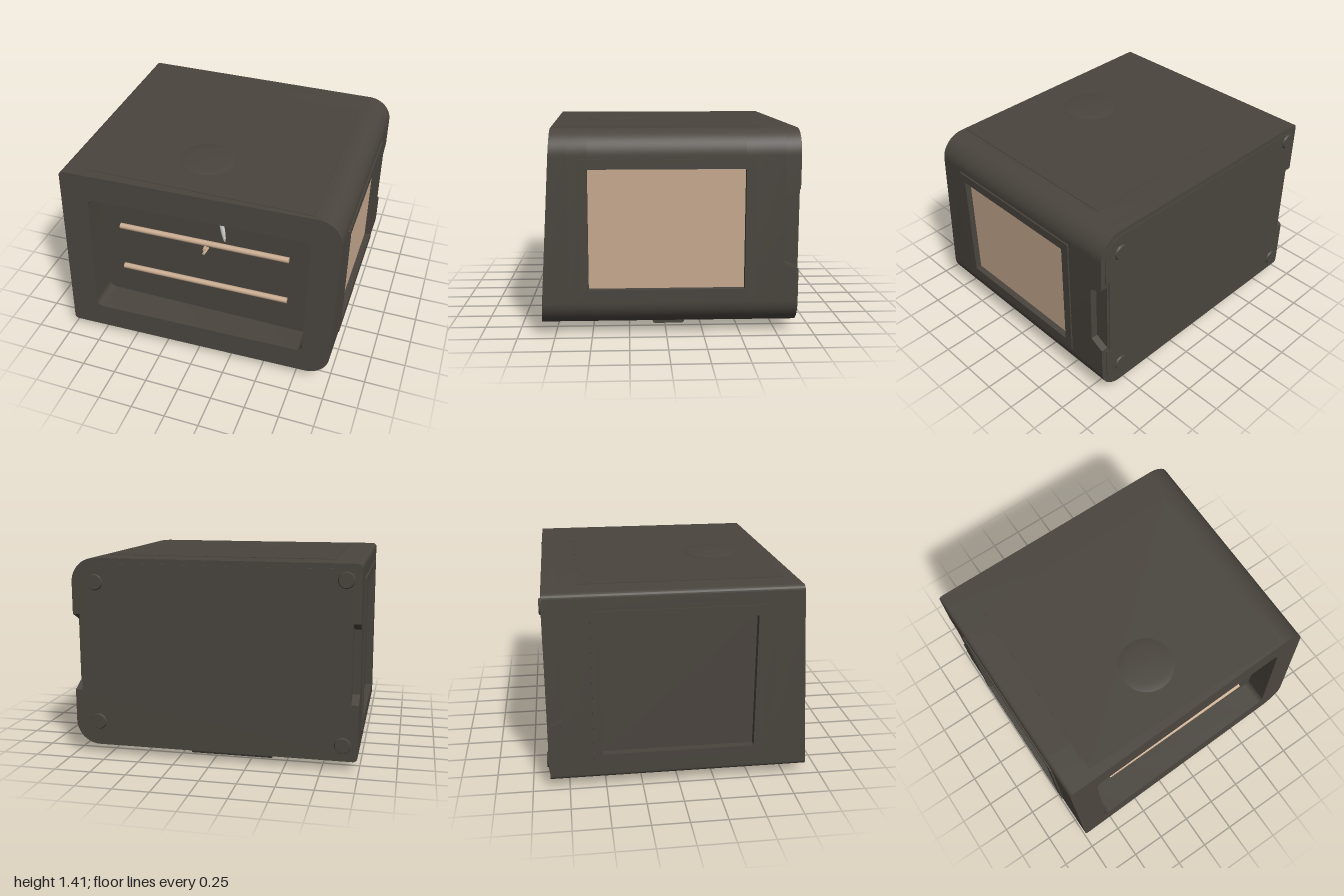
import * as THREE from 'three';
import { toCreasedNormals } from 'three/addons/utils/BufferGeometryUtils.js';

const material = (name, color, side = THREE.FrontSide) =>
  Object.assign(new THREE.MeshStandardMaterial({ color, side }), { name });

// Front plane leans back and is slightly skewed towards the left side
const frontZ = (x, y) => 0.9 - 0.03 * (x + 1) - 0.06 * (y - 0.07);

// Case outline: large radius on the left (+x), small on the right (-x),
// with optional side notches given as [low, high, depth]
function outline(left, right, inset = 0) {
  const x = 0.99 - inset, lo = 0.07 + inset, hi = 1.39 - inset, R = 0.17 - inset * 0.5, r = 0.03;
  const s = new THREE.Shape();
  s.moveTo(-x + r, lo).lineTo(x - R, lo);
  s.absarc(x - R, lo + R, R, -Math.PI / 2, 0, false);
  if (left) {
    const [a, b, d] = left;
    s.lineTo(x, a).lineTo(x - d, a).lineTo(x - d, b).lineTo(x, b);
  }
  s.absarc(x - R, hi - R, R, 0, Math.PI / 2, false);
  s.absarc(-x + r, hi - r, r, Math.PI / 2, Math.PI, false);
  if (right) {
    const [a, b, d] = right;
    s.lineTo(-x, b).lineTo(-x + d, b).lineTo(-x + d, a).lineTo(-x, a);
  }
  s.absarc(-x + r, lo + r, r, Math.PI, Math.PI * 1.5, false);
  return s;
}

function roundRect(x0, y0, x1, y1, r, Type = THREE.Shape) {
  const s = new Type(), P = Math.PI;
  s.moveTo(x0 + r, y0);
  s.absarc(x1 - r, y0 + r, r, -P / 2, 0, false);
  s.absarc(x1 - r, y1 - r, r, 0, P / 2, false);
  s.absarc(x0 + r, y1 - r, r, P / 2, P, false);
  s.absarc(x0 + r, y0 + r, r, P, P * 1.5, false);
  s.closePath();
  return s;
}

// Extrude a section along z; each end may be a number or a rule of x and y
function section(shape, z0, z1, adjust) {
  const g = new THREE.ExtrudeGeometry(shape, { depth: 1, bevelEnabled: false, curveSegments: 10 });
  const p = g.attributes.position;
  for (let i = 0; i < p.count; i++) {
    const x = p.getX(i), y = p.getY(i), end = p.getZ(i) > 0.5 ? z1 : z0;
    if (adjust && p.getZ(i) < 0.5) p.setY(i, adjust(x, y));
    p.setZ(i, typeof end === 'function' ? end(x, y) : end);
  }
  return toCreasedNormals(g, 0.6);
}

export function createModel() {
  const model = new THREE.Group();
  const dark = material('dark shell', 0x4a453e);
  const tan = material('tan wood', 0xc8ab90);
  const pale = material('pale grey', 0xd4d6d4, THREE.DoubleSide);

  const add = (name, geo, mat, x = 0, y = 0, z = 0) => {
    const m = new THREE.Mesh(geo, mat);
    m.name = name;
    m.position.set(x, y, z);
    model.add(m);
    return m;
  };

  // Case, section by section from back to front
  const grip = [0.51, 0.95, 0.05];
  const flare = (x, y) => {
    if (Math.abs(x) < 0.9) return y;
    if (Math.abs(y - 0.51) < 0.001) return 0.46;
    return Math.abs(y - 0.95) < 0.001 ? 1.0 : y;
  };
  add('backSection', section(outline(grip, grip), -0.88, -0.78, (x, y) => flare(x, y)), dark);
  add('rearSection', section(outline(), -0.78, -0.52), dark);
  add('middleSection', section(outline([0.33, 1.135, 0.04], [0.25, 1.2, 0.04]), -0.52, 0.52), dark);
  add('innerFront', section(outline(), 0.52, 0.65), dark);
  const rim = outline();
  rim.holes.push(roundRect(-0.79, 0.25, 0.79, 1.2, 0.05, THREE.Path));
  add('frontRim', section(rim, 0.65, frontZ), dark);
  add('backPlate', section(outline([0.43, 1.03, 0.03], [0.43, 1.03, 0.03], 0.035), -0.886, -0.88), dark);

  // Raised frames around the side openings
  const sideFrame = (name, x, y0, y1, hole0, hole1) => {
    const s = roundRect(-0.58, y0, 0.58, y1, 0.005);
    s.holes.push(roundRect(-0.52, hole0, 0.52, hole1, 0.003, THREE.Path));
    const g = new THREE.ExtrudeGeometry(s, { depth: 0.01, bevelEnabled: false, curveSegments: 2 });
    add(name, g.rotateY(Math.PI / 2), dark, x);
  };
  sideFrame('leftFrame', 0.99, 0.26, 1.2, 0.33, 1.135);
  sideFrame('rightFrame', -1, 0.19, 1.27, 0.25, 1.2);
  add('leftPanel', new THREE.BoxGeometry(0.006, 0.805, 1.04), tan, 0.953, 0.7325, 0);

  // Lid panel with a shallow domed disc
  add('topPanel', new THREE.BoxGeometry(1.58, 0.008, 1.38), dark, 0, 1.39, 0.05);
  const dome = [[0.195, 0], [0.195, 0.006], [0.14, 0.011], [0.07, 0.014], [0, 0.015]];
  add('topDisc', new THREE.LatheGeometry(dome.map(p => new THREE.Vector2(...p)), 40), dark, -0.07, 1.392, 0.36);

  // Perches in the front recess
  for (const y of [0.92, 0.545]) {
    const g = new THREE.CylinderGeometry(0.021, 0.021, 1.245, 14).rotateZ(Math.PI / 2);
    add('perch', g, tan, 0, y, 0.685).rotation.y = 0.02;
  }

  // Feather and small twigs
  const feather = add('feather', new THREE.SphereGeometry(1, 16, 12), pale, 0.14, 1.08, 0.668);
  feather.scale.set(0.017, 0.128, 0.012);
  feather.rotation.z = 0.15;
  for (const [x, y, tilt] of [[0.02, 0.89, 0.5], [0.022, 0.853, -0.4]]) {
    const g = new THREE.CylinderGeometry(0.011, 0.011, 0.07, 8).rotateX(Math.PI / 2);
    add('twig', g, tan, x, y, 0.69).rotation.y = tilt * 0.2;
  }

  // Round buttons on the back corners
  for (const [x, y] of [[0.82, 0.24], [0.82, 1.225], [-0.89, 0.18], [-0.89, 1.285]]) {
    const g = new THREE.CylinderGeometry(0.06, 0.05, 0.02, 24).rotateX(Math.PI / 2);
    add('backButton', g, dark, x, y, -0.888);
  }

  // Underside: panel, pale half panel and a tan corner patch
  const flat = (points) => new THREE.ShapeGeometry(
    new THREE.Shape(points.map(p => new THREE.Vector2(p[0], -p[1])))).rotateX(-Math.PI / 2);
  const tanPatch = material('tan wood underside', 0xc8ab90, THREE.DoubleSide);
  add('bottomPanel', new THREE.BoxGeometry(1.58, 0.006, 1.21), dark, 0, 0.069, -0.085);
  add('paleHalfPanel', flat([[0.79, 0.52], [-0.79, -0.69], [-0.79, 0.52]]), pale, 0, 0.064, 0);
  add('cornerPatch', flat([[-0.96, 0.885], [-0.73, 0.88], [-0.79, 0.84], [-0.88, 0.81], [-0.98, 0.82]]),
    tanPatch, 0, 0.067, 0);

  // Underside latch, foot and studs
  const latch = add('latch', new THREE.BoxGeometry(0.58, 0.025, 0.14), dark, -0.1, 0.04, -0.665);
  latch.rotation.x = -0.4;
  const foot = new THREE.ExtrudeGeometry(roundRect(-0.11, -0.025, 0.11, 0.025, 0.02),
    { depth: 0.05, bevelEnabled: false, curveSegments: 5 });
  add('sideFoot', toCreasedNormals(foot.rotateY(Math.PI / 2), 0.6), dark, 0.715, 0.047, -0.022);
  for (const z of [0.56, -0.54]) {
    add('stud', new THREE.BoxGeometry(0.04, 0.02, 0.08), dark, -0.9, 0.07, z);
  }
  return model;
}
